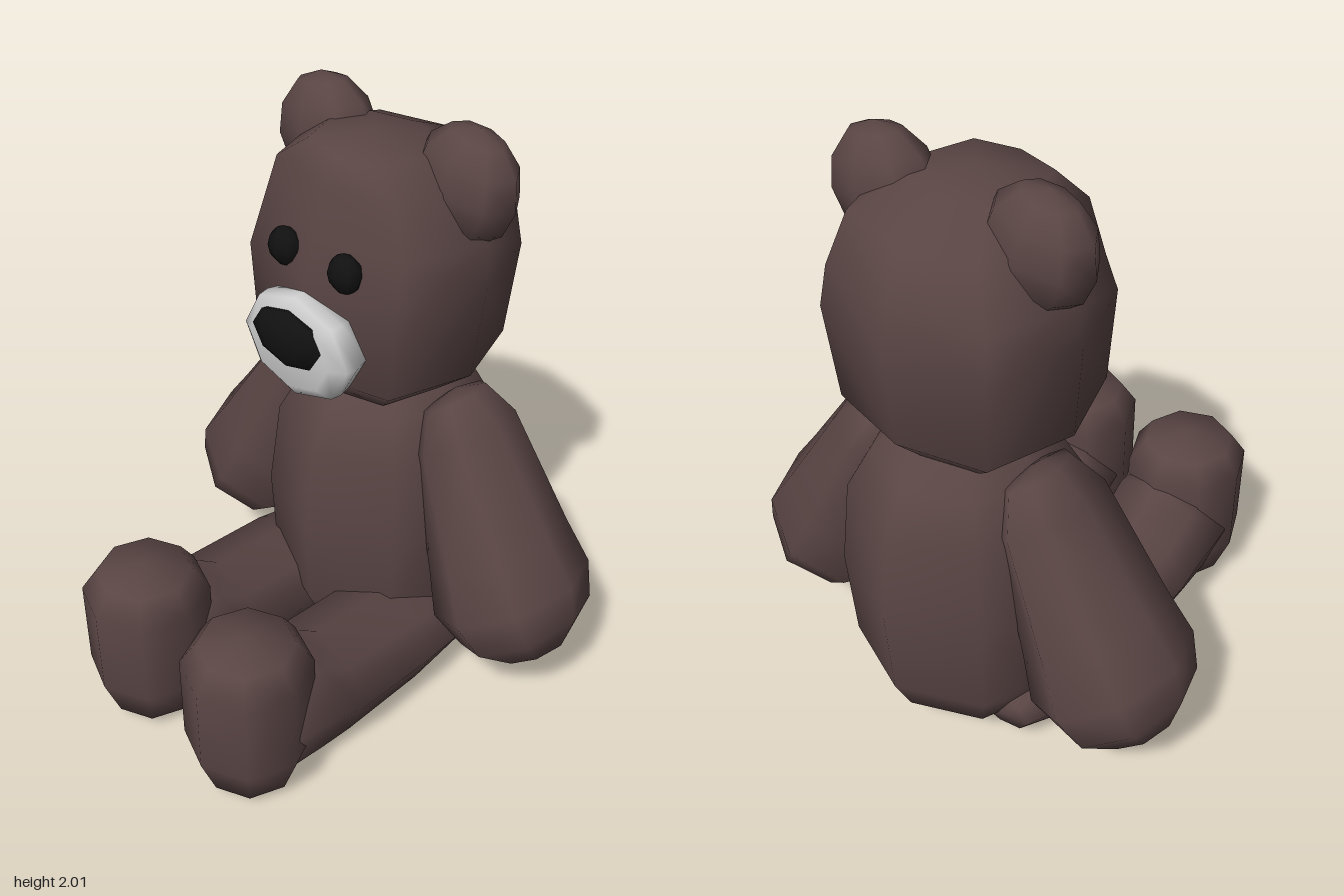
import * as THREE from 'three';

const V = (x, y, z) => new THREE.Vector3(x, y, z);
const X = V(1, 0, 0), Y = V(0, 1, 0), Z = V(0, 0, 1);
const fur = new THREE.MeshStandardMaterial({ color: 0x594544 });
const grey = new THREE.MeshStandardMaterial({ color: 0xcccccc });
const black = new THREE.MeshStandardMaterial({ color: 0x111111 });

// Eight-sided ring around c, spanned by the axes u and v
function ring(c, u, v, ru, rv) {
  return Array.from({ length: 8 }, (_, i) => {
    const a = (i * Math.PI) / 4;
    return c.clone().addScaledVector(u, ru * Math.cos(a)).addScaledVector(v, rv * Math.sin(a));
  });
}

// Smooth closed skin over rings, with a tip at each end
function loft(rings, start, end) {
  const pts = [...rings.flat(), start, end];
  const n = 8, s = pts.length - 2, e = s + 1, last = (rings.length - 1) * n;
  const tris = [];
  for (let i = 0; i < n; i++) {
    const j = (i + 1) % n;
    tris.push([s, j, i], [e, last + i, last + j]);
    for (let r = 0; r < last; r += n) {
      tris.push([r + i, r + j, r + n + j], [r + i, r + n + j, r + n + i]);
    }
  }
  // Turn the skin outwards when its signed volume is negative
  const mid = pts.reduce((a, p) => a.add(p), V(0, 0, 0)).divideScalar(pts.length);
  const rel = pts.map((p) => p.clone().sub(mid));
  const volume = tris.reduce((t, [a, b, c]) => t + rel[a].dot(rel[b].clone().cross(rel[c])), 0);
  if (volume < 0) tris.forEach((t) => t.reverse());
  const geo = new THREE.BufferGeometry().setFromPoints(pts);
  geo.setIndex(tris.flat());
  geo.computeVertexNormals();
  return geo;
}

function add(parent, name, geo, material) {
  const mesh = new THREE.Mesh(geo, material);
  mesh.name = name;
  parent.add(mesh);
  return mesh;
}

function ball(parent, name, material, pos, size) {
  const mesh = add(parent, name, new THREE.SphereGeometry(1, 8, 6), material);
  mesh.position.copy(pos);
  mesh.scale.copy(size);
  return mesh;
}

function makeBody(bear) {
  const rows = [[0.06, 0.2], [0.13, 0.32], [0.27, 0.385], [0.6, 0.405], [0.9, 0.37], [1.04, 0.29], [1.12, 0.2]];
  const rings = rows.map(([y, r]) => ring(V(0, y, -0.355), X, Z, r, r));
  add(bear, 'body', loft(rings, V(0, 0.05, -0.355), V(0, 1.13, -0.355)), fur);
}

function makeHead(bear) {
  // y, half width, back z, front z
  const rows = [
    [1.1, 0.23, -0.54, -0.08], [1.22, 0.37, -0.65, 0.04], [1.54, 0.4, -0.675, 0.05],
    [1.67, 0.38, -0.645, 0.0], [1.84, 0.31, -0.59, -0.02], [1.91, 0.19, -0.42, -0.08],
  ];
  const rings = rows.map(([y, w, back, front]) => {
    const zc = (back + front) / 2, d = (front - back) / 2;
    // Fuller diagonals give the face its flat front
    return ring(V(0, y, zc), X, Z, w, d).map((p, i) => {
      if (i % 2) { p.x *= 1.07; p.z = zc + (p.z - zc) * 1.14; }
      return p;
    });
  });
  add(bear, 'head', loft(rings, V(0, 1.08, -0.31), V(0, 1.945, -0.25)), fur);

  // Muzzle: bevelled eight-sided pad
  const pad = [[-0.02, 0.2, 0.165], [0.05, 0.22, 0.175], [0.09, 0.215, 0.17], [0.12, 0.165, 0.13]]
    .map(([z, w, h]) => ring(V(0, 1.342, z), X, Y, w, h));
  add(bear, 'muzzle', loft(pad, V(0, 1.342, -0.02), V(0, 1.342, 0.12)), grey);

  // Nose: small black pad with a lower, narrower bottom
  const nose = [[0.1, 0.13, 0.09], [0.13, 0.14, 0.095], [0.155, 0.08, 0.06]]
    .map(([z, w, h]) => ring(V(0, 1.388, z), X, Y, w, h));
  add(bear, 'nose', loft(nose, V(0, 1.388, 0.1), V(0, 1.388, 0.16)), black);
}

function makeFaceSide(bear, s, side) {
  ball(bear, side + 'Eye', black, V(s * 0.123, 1.608, 0.005), V(0.06, 0.062, 0.045));
  const ear = ball(bear, side + 'Ear', fur, V(s * 0.275, 1.825, -0.34), V(0.185, 0.185, 0.122));
  ear.rotation.z = -s * 0.18;
}

function makeArm(bear, s, side) {
  // Sections square to the sloping arm: centre x, centre y, half width, half depth
  const rows = [
    [0.275, 1.07, 0.09, 0.13], [0.325, 0.96, 0.155, 0.2], [0.5, 0.58, 0.235, 0.25],
    [0.57, 0.43, 0.27, 0.28], [0.64, 0.33, 0.22, 0.245], [0.69, 0.25, 0.12, 0.13],
  ];
  const across = V(s * 0.85, 0.52, 0);
  const rings = rows.map(([x, y, w, d]) => ring(V(s * x, y, -0.355), across, Z, w, d));
  add(bear, side + 'Arm', loft(rings, V(s * 0.28, 1.11, -0.355), V(s * 0.7, 0.225, -0.355)), fur);
}

function makeLeg(bear, s, side) {
  const x = s * 0.24;
  const leg = new THREE.Group();
  leg.name = side + 'Leg';
  // Thigh from hip to ankle: z, bottom y, top y, half width
  const rows = [
    [-0.51, 0.07, 0.2, 0.12], [-0.4, 0.04, 0.31, 0.19], [-0.1, 0.01, 0.385, 0.21],
    [0.24, 0.01, 0.42, 0.21], [0.36, 0.01, 0.51, 0.21], [0.52, 0.02, 0.54, 0.2],
  ];
  const shin = rows.map(([z, lo, hi, w]) => ring(V(x, (lo + hi) / 2, z), X, Y, w, (hi - lo) / 2));
  add(leg, 'thigh', loft(shin, V(x, 0.135, -0.53), V(x, 0.28, 0.55)), fur);
  // Upright rounded foot
  const foot = [[0.05, 0.155], [0.2, 0.21], [0.51, 0.21], [0.59, 0.155]]
    .map(([y, r]) => ring(V(x, y, 0.55), X, Z, r, r));
  add(leg, 'foot', loft(foot, V(x, 0, 0.55), V(x, 0.62, 0.55)), fur);
  bear.add(leg);
}

export function createModel() {
  const bear = new THREE.Group();
  bear.name = 'teddyBear';
  makeBody(bear);
  makeHead(bear);
  for (const [s, side] of [[1, 'left'], [-1, 'right']]) {
    makeFaceSide(bear, s, side);
    makeArm(bear, s, side);
    makeLeg(bear, s, side);
  }
  return bear;
}
